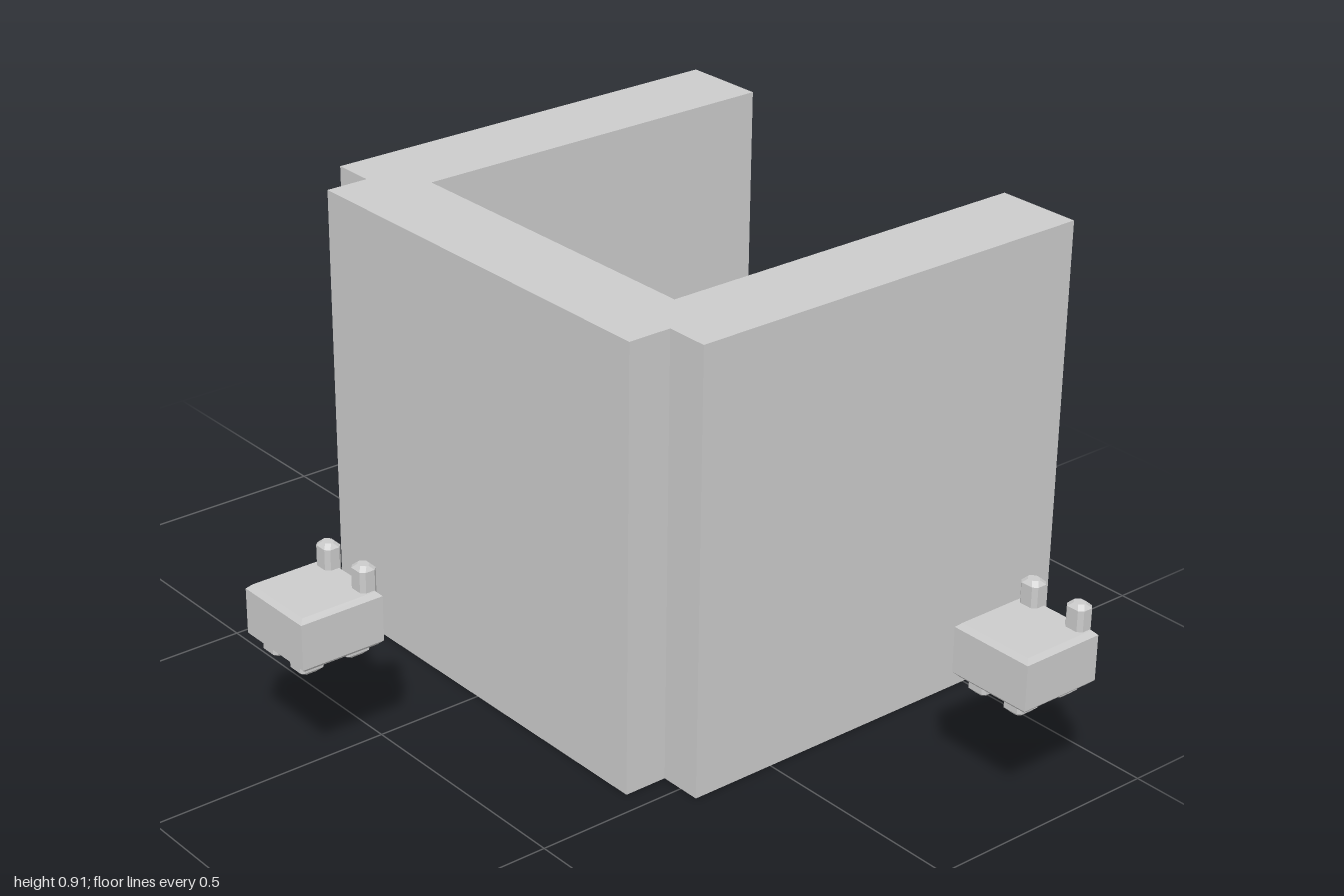
import * as THREE from 'three';
import { ConvexGeometry } from 'three/addons/geometries/ConvexGeometry.js';

const material = new THREE.MeshStandardMaterial({ color: 0xcccccc, flatShading: true });

function part(name, geometry) {
  const mesh = new THREE.Mesh(geometry, material);
  mesh.name = name;
  return mesh;
}

// Box with chamfered top and bottom edges (c) and cut vertical corners (k)
function chamferBox([x0, x1], [y0, y1], [z0, z1], c, k) {
  const pts = [];
  for (const [y, inset] of [[y0, c], [y0 + c, 0], [y1 - c, 0], [y1, c]]) {
    const hx = (x1 - x0) / 2 - inset, hz = (z1 - z0) / 2 - inset;
    for (const sx of [-1, 1]) for (const sz of [-1, 1]) {
      const cx = (x0 + x1) / 2, cz = (z0 + z1) / 2;
      pts.push(new THREE.Vector3(cx + sx * (hx - k), y, cz + sz * hz));
      if (k > 0) pts.push(new THREE.Vector3(cx + sx * hx, y, cz + sz * (hz - k)));
    }
  }
  return new ConvexGeometry(pts);
}

// Three-sided wall, open towards +x, with stepped outer corners
function buildWalls() {
  const half = [[0.725, 0.362], [-0.095, 0.362], [-0.095, -0.362], [0.725, -0.362],
    [0.725, -0.543], [-0.182, -0.543], [-0.182, -0.454], [-0.273, -0.454],
    [-0.273, 0.454], [-0.182, 0.454], [-0.182, 0.543], [0.725, 0.543]];
  const shape = new THREE.Shape(half.map(([x, y]) => new THREE.Vector2(x, y)));
  const geometry = new THREE.ExtrudeGeometry(shape, { depth: 0.908, bevelEnabled: false });
  geometry.rotateX(-Math.PI / 2);
  return part('walls', geometry);
}

// Small blocky animal facing +x, centred on its own x and z
function buildAnimal() {
  const animal = new THREE.Group();
  animal.name = 'animal';
  animal.add(part('body', chamferBox([-0.09, 0.088], [0.252, 0.362], [-0.09, 0.09], 0.009, 0)));
  const mouth = part('mouth', new THREE.BoxGeometry(0.008, 0.005, 0.086));
  mouth.position.set(0.089, 0.308, 0);
  animal.add(mouth);
  for (const s of [-1, 1]) {
    const span = (a, b) => (s > 0 ? [a, b] : [-b, -a]);
    animal.add(part('ear', chamferBox([0.053, 0.089], [0.34, 0.412], span(0.035, 0.077), 0.008, 0.008)));
    animal.add(part('backFoot', chamferBox([-0.077, -0.025], [0.228, 0.268], span(0.022, 0.066), 0.009, 0.006)));
    animal.add(part('frontFoot', chamferBox([0.022, 0.076], [0.228, 0.268], span(0.022, 0.066), 0.009, 0.006)));
  }
  return animal;
}

export function createModel() {
  const model = new THREE.Group();
  model.name = 'walledPen';
  model.add(buildWalls());
  // One animal inside the pen and one outside each wall
  for (const [x, z] of [[0.271, 0], [0.271, 0.91], [0.271, -0.91], [-0.637, 0]]) {
    const animal = buildAnimal();
    animal.position.set(x, 0, z);
    model.add(animal);
  }
  return model;
}
